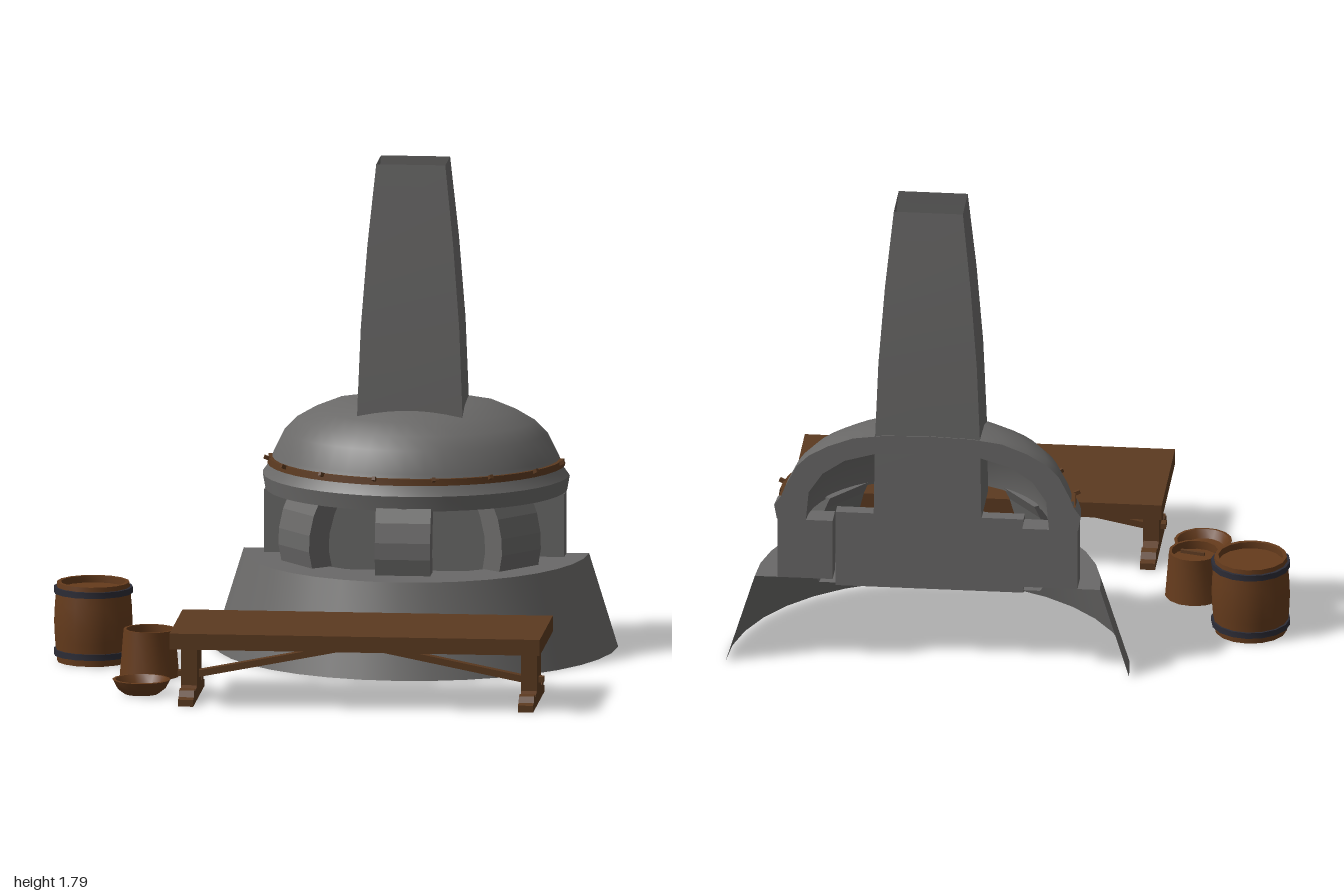
import * as THREE from 'three';
import { toCreasedNormals } from 'three/addons/utils/BufferGeometryUtils.js';

const mat = (name, color) =>
  new THREE.MeshStandardMaterial({ name, color, side: THREE.DoubleSide });

export function createModel() {
  const stone = mat('stone', 0x6a6968);
  const wood = mat('wood', 0x5c3a20);
  const stave = mat('stave wood', 0x653b1c);
  const iron = mat('iron', 0x2c2c36);

  const model = new THREE.Group();
  const group = (name, x, y, z) => {
    const g = new THREE.Group();
    g.name = name;
    g.position.set(x, y, z);
    model.add(g);
    return g;
  };
  const add = (parent, name, geo, material, x = 0, y = 0, z = 0) => {
    const m = new THREE.Mesh(geo, material);
    m.name = name;
    m.position.set(x, y, z);
    parent.add(m);
    return m;
  };
  const pts = (list) => list.map(([x, y]) => new THREE.Vector2(x, y));
  const lathe = (list, seg, half = false) => toCreasedNormals(
    new THREE.LatheGeometry(pts(list), seg, half ? -Math.PI / 2 : 0, half ? Math.PI : Math.PI * 2), 0.6);
  const box = (w, h, d) => new THREE.BoxGeometry(w, h, d);

  // Half-round forge, open at the back
  const forge = group('forge', 0.27, 0, -0.695);
  const base = add(forge, 'forgeBase', lathe([[0.73, 0], [0.625, 0.34], [0.44, 0.34]], 18, true), stone);
  base.scale.z = 1.045;
  add(forge, 'hearthFloor', lathe([[0, 0.29], [0.4, 0.29], [0.42, 0.32]], 18, true), stone, 0, 0, 0.08);
  add(forge, 'hearthBackWall', box(0.68, 0.29, 0.05), stone, 0, 0.425, 0.105);
  for (const s of [-1, 1])
    add(forge, 'endBlock', box(0.2, 0.23, 0.085), stone, s * 0.443, 0.455, 0.0425);

  // Bowed pillars
  const pillarShape = new THREE.Shape(pts([
    [0.43, 0.33], [0.515, 0.33], [0.53, 0.4], [0.528, 0.46], [0.51, 0.53], [0.485, 0.58],
    [0.395, 0.58], [0.42, 0.53], [0.442, 0.46], [0.445, 0.4]]));
  const pillarGeo = new THREE.ExtrudeGeometry(pillarShape, { depth: 0.2, bevelEnabled: false });
  pillarGeo.translate(0, 0, -0.1).rotateY(-Math.PI / 2);
  for (const a of [-0.89, 0, 0.89])
    add(forge, 'pillar', pillarGeo, stone).rotation.y = a;

  // Thick dome shell with cut faces at the back
  const dome = new THREE.Group();
  dome.name = 'dome';
  dome.scale.z = 0.89;
  forge.add(dome);
  const profile = [
    [0.44, 0.57], [0.545, 0.57], [0.555, 0.625], [0.53, 0.66], [0.515, 0.7], [0.475, 0.78],
    [0.43, 0.825], [0.36, 0.865], [0.27, 0.9], [0.16, 0.915], [0, 0.92],
    [0, 0.85], [0.18, 0.845], [0.3, 0.81], [0.38, 0.755], [0.43, 0.68], [0.44, 0.57]];
  add(dome, 'domeShell', lathe(profile, 22, true), stone);
  const cutGeo = new THREE.ShapeGeometry(new THREE.Shape(pts(profile.slice(0, -1))));
  add(dome, 'domeCutFace', cutGeo, stone);
  add(dome, 'domeCutFace', cutGeo, stone).rotation.y = Math.PI;

  // Wooden band with pegs
  add(dome, 'domeBand', lathe(
    [[0.515, 0.662], [0.538, 0.662], [0.535, 0.686], [0.51, 0.686], [0.515, 0.662]], 22, true), wood);
  for (let i = 0; i < 8; i++) {
    const a = -1.4 + i * 0.4;
    const peg = add(dome, 'bandPeg', box(0.012, 0.014, 0.035), wood,
      Math.sin(a) * 0.535, 0.682, Math.cos(a) * 0.535);
    peg.rotation.set(-0.4, a, 0, 'YXZ');
  }

  // Tapering square chimney: height, half width, front z, back z
  const rings = [
    [0.6, 0.195, 0.25, 0.003], [0.9, 0.19, 0.25, 0.003], [1.2, 0.178, 0.242, 0.005],
    [1.5, 0.155, 0.23, 0.014], [1.79, 0.125, 0.213, 0.033]];
  const pos = [], idx = [];
  rings.forEach(([y, w, f, b], r) => {
    pos.push(-w, y, f, w, y, f, w, y, b, -w, y, b);
    if (r === 0) return;
    for (let i = 0; i < 4; i++) {
      const a = r * 4 - 4 + i, c = r * 4 - 4 + (i + 1) % 4;
      idx.push(a, c, c + 4, a, c + 4, a + 4);
    }
  });
  const flue = new THREE.BufferGeometry();
  flue.setAttribute('position', new THREE.Float32BufferAttribute(pos, 3));
  flue.setIndex(idx);
  add(forge, 'chimney', toCreasedNormals(flue, 0.6), stone);

  // Trestle table
  const table = group('table', 0.18, 0, 0.445);
  add(table, 'tableTop', box(1.34, 0.058, 0.49), wood, 0, 0.244, 0);
  const half = [[0.21, 0], [0.21, 0.025], [0.185, 0.03], [0.17, 0.052], [0.14, 0.055], [0.11, 0.04], [0.08, 0.055]];
  const footShape = new THREE.Shape(pts([
    ...half, ...half.slice().reverse().map(([x, y]) => [-x, y])]));
  const footGeo = new THREE.ExtrudeGeometry(footShape, { depth: 0.055, bevelEnabled: false });
  footGeo.translate(0, 0, -0.0275).rotateY(Math.PI / 2);
  for (const s of [-1, 1]) {
    add(table, 'tableLeg', box(0.058, 0.175, 0.16), wood, s * 0.615, 0.1325, 0);
    add(table, 'tableFoot', footGeo, wood, s * 0.615, 0, 0);
    add(table, 'braceTenon', box(0.025, 0.02, 0.035), wood, s * 0.65, 0.086, 0);
    const brace = add(table, 'tableBrace', box(0.61, 0.024, 0.035), wood, s * 0.3, 0.143, 0);
    brace.rotation.z = -s * 0.195;
  }

  // Barrel with iron hoops
  const barrel = group('barrel', -0.855, 0, -0.235);
  add(barrel, 'barrelBody', lathe([
    [0, 0.015], [0.118, 0.015], [0.122, 0], [0.131, 0], [0.139, 0.08], [0.142, 0.145], [0.139, 0.21],
    [0.131, 0.29], [0.117, 0.29], [0.117, 0.265], [0, 0.265]], 16), stave);
  for (const y of [0.035, 0.262])
    add(barrel, 'barrelHoop', lathe([
      [0.13, y - 0.011], [0.143, y - 0.011], [0.143, y + 0.011], [0.13, y + 0.011]], 16), iron);

  // Tapered tub with a stick resting inside
  const tub = group('tub', -0.625, 0, 0.045);
  add(tub, 'tubBody', lathe([
    [0, 0.01], [0.095, 0.01], [0.098, 0], [0.108, 0], [0.094, 0.172], [0.084, 0.172],
    [0.085, 0.14], [0, 0.14]], 14), stave);
  const stick = add(tub, 'tubStick', box(0.09, 0.012, 0.012), wood, 0.01, 0.15, 0.03);
  stick.rotation.y = -0.25;

  // Shallow bowl
  const bowl = group('bowl', -0.62, 0, 0.4);
  add(bowl, 'bowlBody', lathe([
    [0, 0], [0.062, 0], [0.088, 0.02], [0.105, 0.052], [0.094, 0.053], [0.075, 0.024], [0, 0.014]], 16), stave);

  return model;
}
